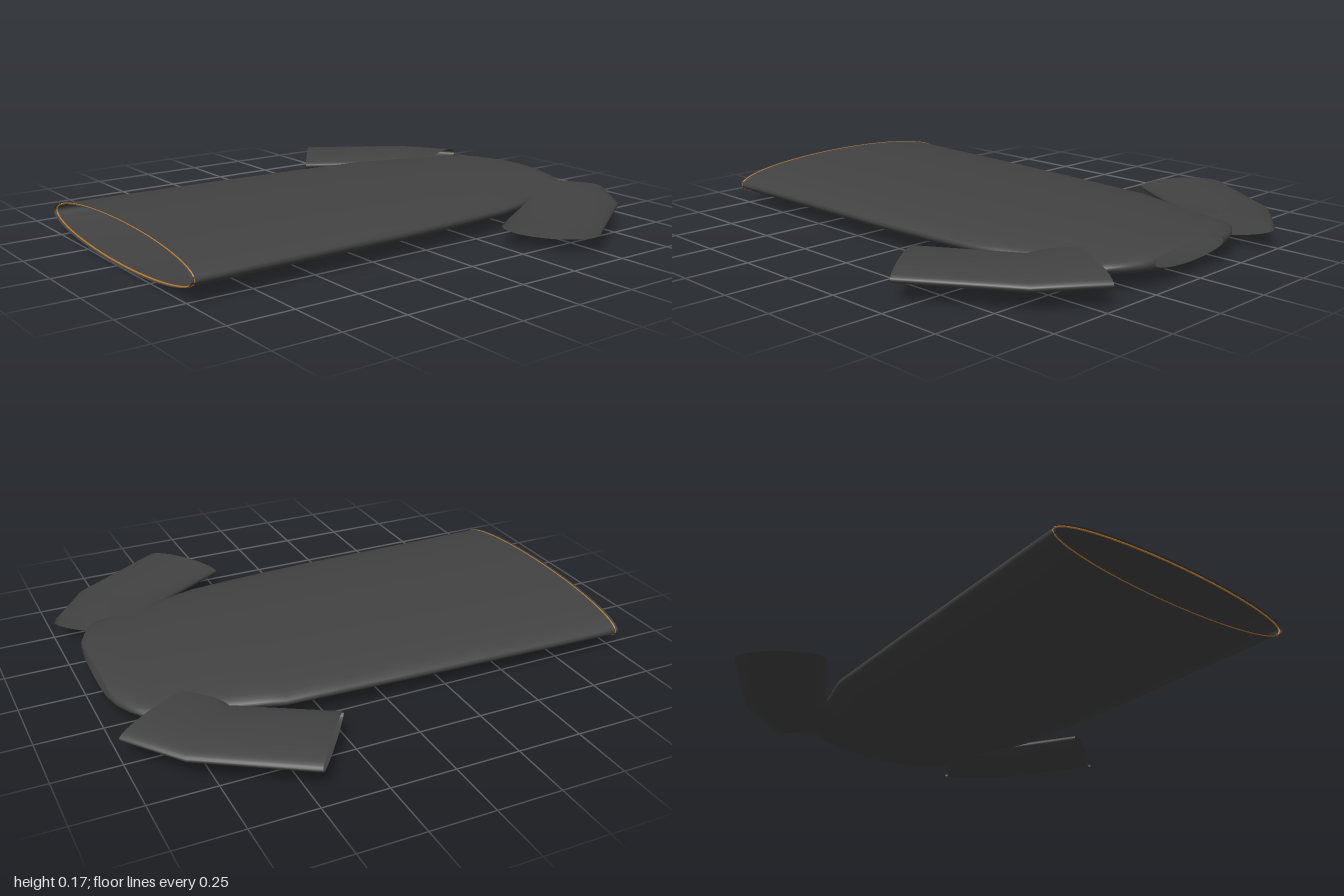
import * as THREE from 'three';

const MID_Y = 0.083;
const SIDES = 48;

// Open elliptical tube through rings given by two edge points (x, z) and a half height.
function loft(rings) {
  const pos = [], index = [];
  for (const [ax, az, bx, bz, h] of rings) {
    for (let j = 0; j < SIDES; j++) {
      const a = (j / SIDES) * Math.PI * 2, c = Math.cos(a);
      pos.push((ax + bx) / 2 + ((ax - bx) / 2) * c, MID_Y + h * Math.sin(a), (az + bz) / 2 + ((az - bz) / 2) * c);
    }
  }
  for (let i = 0; i < rings.length - 1; i++) {
    for (let j = 0; j < SIDES; j++) {
      const k = (j + 1) % SIDES;
      const a = i * SIDES + j, b = i * SIDES + k, c = a + SIDES, d = b + SIDES;
      index.push(a, b, c, b, d, c);
    }
  }
  const g = new THREE.BufferGeometry();
  g.setAttribute('position', new THREE.Float32BufferAttribute(pos, 3));
  g.setIndex(index);
  g.computeVertexNormals();
  return g;
}

export function createModel() {
  const model = new THREE.Group();
  model.name = 'shirt';
  const fabric = new THREE.MeshStandardMaterial({ color: 0x424242, side: THREE.DoubleSide });
  fabric.name = 'charcoal fabric';
  const thread = new THREE.MeshStandardMaterial({ color: 0xb87a2c });
  thread.name = 'orange thread';

  const add = (name, geometry, material) => {
    const mesh = new THREE.Mesh(geometry, material);
    mesh.name = name;
    model.add(mesh);
  };

  // Body from neck to hem: z, left edge, right edge, half height
  const profile = [
    [-0.955, 0.2, -0.2, 0.034],
    [-0.945, 0.25, -0.25, 0.038],
    [-0.915, 0.315, -0.315, 0.044],
    [-0.88, 0.365, -0.365, 0.048],
    [-0.84, 0.395, -0.395, 0.052],
    [-0.72, 0.415, -0.415, 0.059],
    [-0.6, 0.44, -0.44, 0.065],
    [-0.5, 0.475, -0.47, 0.069],
    [-0.4, 0.5, -0.5, 0.072],
    [-0.2, 0.515, -0.51, 0.077],
    [0.1, 0.53, -0.525, 0.081],
    [0.4, 0.533, -0.537, 0.083],
    [0.7, 0.536, -0.55, 0.083],
    [1.0, 0.54, -0.562, 0.083],
  ];
  add('body', loft(profile.map(([z, l, r, h]) => [l, z, r, z, h])), fabric);

  // Sleeves: outer edge x, z, inner edge x, z, half height
  const sleeve = [
    [0.47, -1.0, 0.24, -0.59, 0.04],
    [0.685, -0.84, 0.435, -0.59, 0.037],
    [0.93, -0.46, 0.64, -0.245, 0.035],
  ];
  add('leftSleeve', loft(sleeve), fabric);
  add('rightSleeve', loft(sleeve.map(([ox, oz, ix, iz, h]) => [-ix, iz, -ox, oz, h])), fabric);

  // Thin stitch line around the hem
  const points = [];
  for (let j = 0; j < 64; j++) {
    const a = (j / 64) * Math.PI * 2;
    points.push(new THREE.Vector3(-0.011 + 0.549 * Math.cos(a), MID_Y + 0.081 * Math.sin(a), 0.988));
  }
  add('hemStitch', new THREE.TubeGeometry(new THREE.CatmullRomCurve3(points, true), 128, 0.0035, 6, true), thread);

  return model;
}
